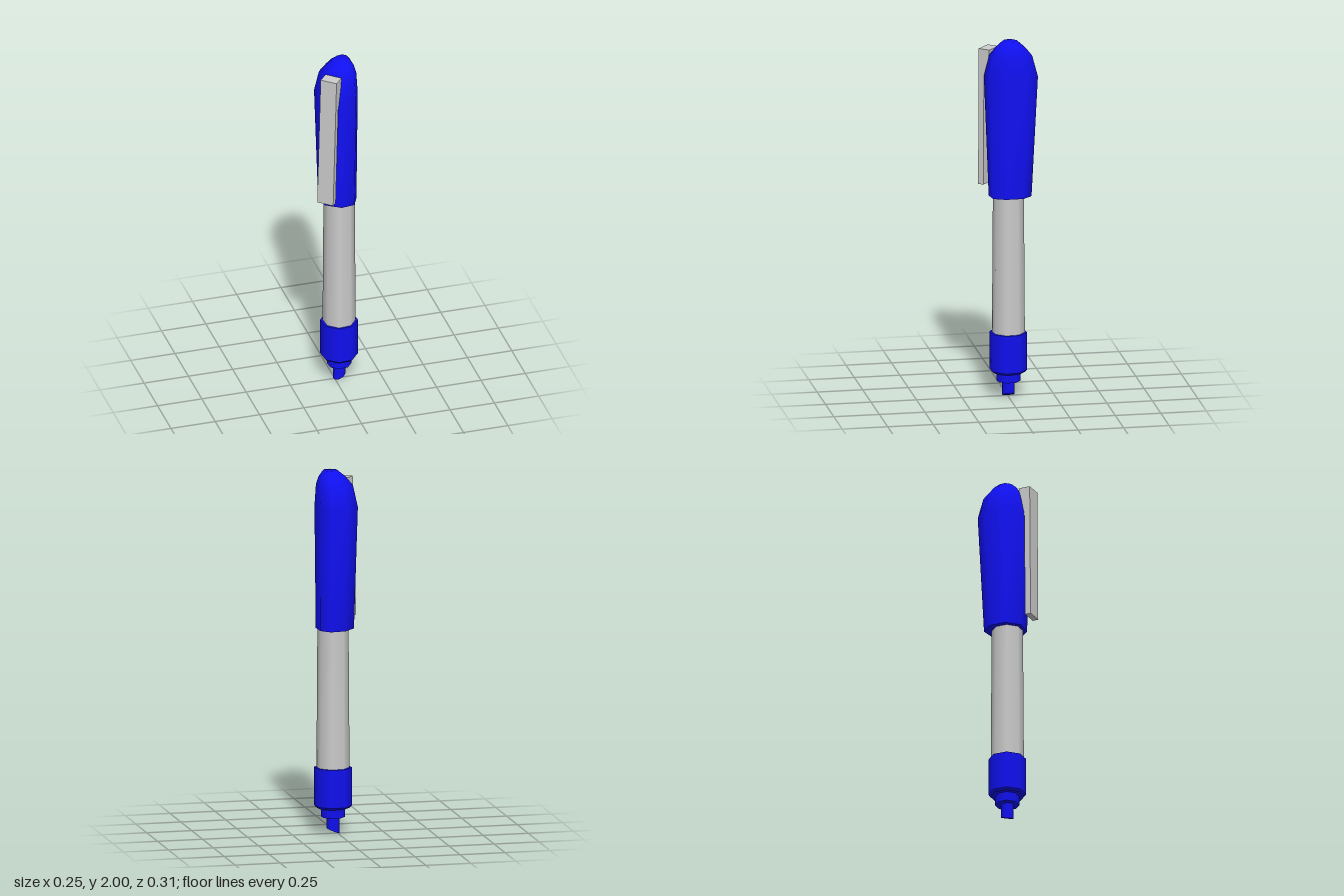
import * as THREE from 'three';
import { toCreasedNormals } from 'three/addons/utils/BufferGeometryUtils.js';

export function createModel() {
  const pen = new THREE.Group();
  pen.name = 'markerPen';
  const blue = new THREE.MeshStandardMaterial({ color: 0x1010f0 });
  const grey = new THREE.MeshStandardMaterial({ color: 0xcccccc });

  const add = (name, geometry, material) => {
    const mesh = new THREE.Mesh(geometry, material);
    mesh.name = name;
    pen.add(mesh);
    return mesh;
  };

  // Eight-sided section of the pen between two heights
  const axisX = 0.025;
  const section = (name, y0, y1, r0, r1, material) => {
    const g = new THREE.CylinderGeometry(r1, r0, y1 - y0, 8, 1, false, THREE.MathUtils.degToRad(73));
    g.translate(axisX, (y0 + y1) / 2, 0);
    return add(name, g, material);
  };
  section('barrel', 0.3, 1.2, 0.09, 0.084, grey);
  section('grip', 0.155, 0.365, 0.102, 0.102, blue);
  section('gripChamfer', 0.143, 0.155, 0.092, 0.102, blue);
  section('nibHolder', 0.092, 0.15, 0.066, 0.066, blue);

  // Nib with its lower end cut on a slant
  const nib = section('nib', 0, 0.1, 0.034, 0.034, blue);
  const np = nib.geometry.attributes.position;
  for (let i = 0; i < np.count; i++) {
    if (np.getY(i) < 0.05) np.setY(i, Math.max(0, (np.getX(i) + 0.008) * 0.42));
  }
  nib.geometry.computeVertexNormals();
  nib.geometry = toCreasedNormals(nib.geometry, 0.9);

  // Cap: an uneven octagon lofted through rings [y, scaleX, scaleZ, centreX, centreZ]
  const outline = [
    [-0.112, -0.043], [-0.039, -0.131], [0.052, -0.143], [0.106, -0.078],
    [0.108, 0.045], [0.073, 0.129], [-0.012, 0.142], [-0.102, 0.072]
  ];
  const rings = [
    [1.13, 0.89, 0.79, 0.018, -0.007],
    [1.8, 1, 1, 0.012, -0.012],
    [1.92, 0.86, 0.79, 0.021, -0.01],
    [1.965, 0.64, 0.56, 0.032, -0.007],
    [2.0, 0.35, 0.3, 0.041, -0.005]
  ];
  const positions = [], index = [];
  const n = outline.length;
  for (const [y, sx, sz, cx, cz] of rings) {
    for (const [x, z] of outline) positions.push(cx + x * sx, y, cz + z * sz);
  }
  for (let r = 0; r < rings.length - 1; r++) {
    for (let i = 0; i < n; i++) {
      const a = r * n + i, b = r * n + (i + 1) % n;
      index.push(a, a + n, b, b, a + n, b + n);
    }
  }
  // Close the crown and the mouth with fans
  const crown = (rings.length - 1) * n;
  for (let i = 1; i < n - 1; i++) {
    index.push(crown, crown + i + 1, crown + i);
    index.push(0, i, i + 1);
  }
  const cap = new THREE.BufferGeometry();
  cap.setAttribute('position', new THREE.Float32BufferAttribute(positions, 3));
  cap.setIndex(index);
  add('cap', toCreasedNormals(cap, 1.1), blue);

  // Clip: side profile (outward, up) extruded across its width, with a root block at the top
  const profile = new THREE.Shape([
    [0, 0], [0, -0.765], [-0.033, -0.765], [-0.033, -0.17], [-0.05, -0.14], [-0.066, 0]
  ].map(([u, v]) => new THREE.Vector2(u, v)));
  const width = 0.094;
  const clip = new THREE.ExtrudeGeometry(profile, { depth: width, bevelEnabled: false });
  clip.translate(0, 0, -width / 2);
  // Turn the clip to face diagonally outward and lean it slightly sideways
  clip.applyMatrix4(new THREE.Matrix4().makeBasis(
    new THREE.Vector3(-0.656, 0, 0.755),
    new THREE.Vector3(0.025, 1, 0),
    new THREE.Vector3(-0.755, 0, -0.656)
  ));
  clip.translate(-0.071, 1.945, 0.121);
  add('clip', clip, grey);

  return pen;
}
